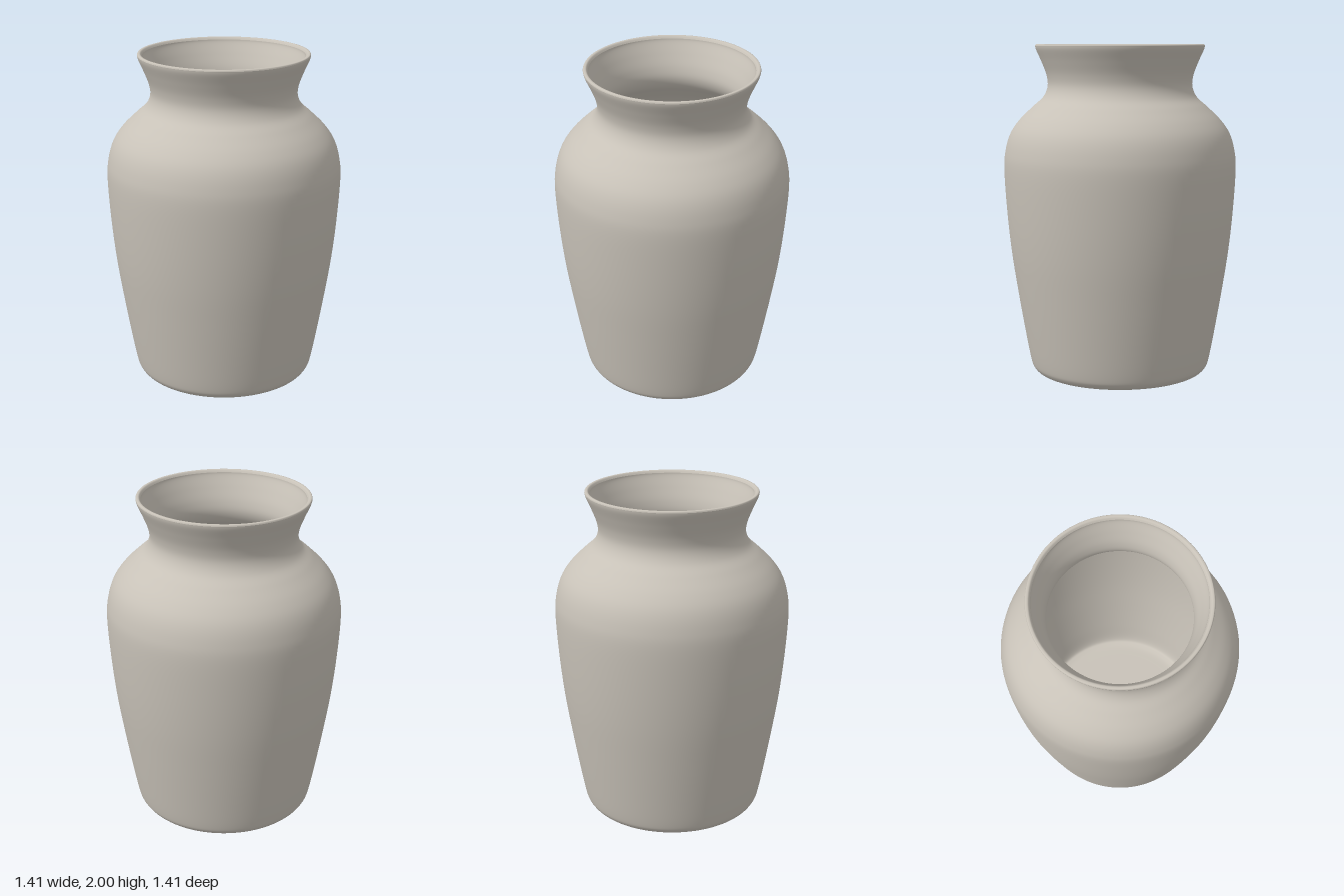
import * as THREE from 'three';

const SEGMENTS = 96;

// Smooth curve through [radius, height] pairs
function smooth(pairs, samples) {
  const curve = new THREE.SplineCurve(pairs.map(([r, y]) => new THREE.Vector2(r, y)));
  return curve.getPoints(samples).map((p) => new THREE.Vector2(Math.max(p.x, 0), p.y));
}

export function createModel() {
  const vase = new THREE.Group();
  vase.name = 'vase';
  const clay = new THREE.MeshStandardMaterial({ color: 0xc8c2b8 });
  clay.name = 'warm grey ceramic';

  function turned(name, points) {
    const mesh = new THREE.Mesh(new THREE.LatheGeometry(points, SEGMENTS), clay);
    mesh.name = name;
    vase.add(mesh);
  }

  // Wall from the rounded foot to the flared lip
  const wall = [
    [0.46, 0], [0.505, 0.005], [0.535, 0.03], [0.553, 0.08], [0.585, 0.25],
    [0.627, 0.5], [0.664, 0.75], [0.689, 1], [0.703, 1.25], [0.693, 1.37],
    [0.662, 1.47], [0.607, 1.55], [0.53, 1.625], [0.465, 1.685], [0.437, 1.75],
    [0.444, 1.82], [0.474, 1.9], [0.503, 1.965], [0.51, 1.99],
  ];
  turned('outerWall', smooth(wall, 110));

  // Thin rounded rim
  turned('rim', smooth([[0.51, 1.99], [0.507, 1.998], [0.5, 2], [0.49, 1.998], [0.481, 1.985]], 12));

  // Inside wall follows the outside, then turns into the floor
  const lining = wall.slice(3, -1).reverse().map(([r, y]) => [r - 0.027, y]);
  turned('innerWall', smooth([[0.481, 1.985], ...lining, [0.49, 0.045], [0.42, 0.04]], 110));
  turned('innerFloor', [new THREE.Vector2(0.42, 0.04), new THREE.Vector2(0, 0.04)]);

  // Underside with a shallow recess inside the foot ring
  turned('base', [
    new THREE.Vector2(0, 0.022), new THREE.Vector2(0.32, 0.022),
    ...smooth([[0.335, 0.021], [0.36, 0.012], [0.39, 0.002], [0.42, 0], [0.46, 0]], 16),
  ]);

  return vase;
}
